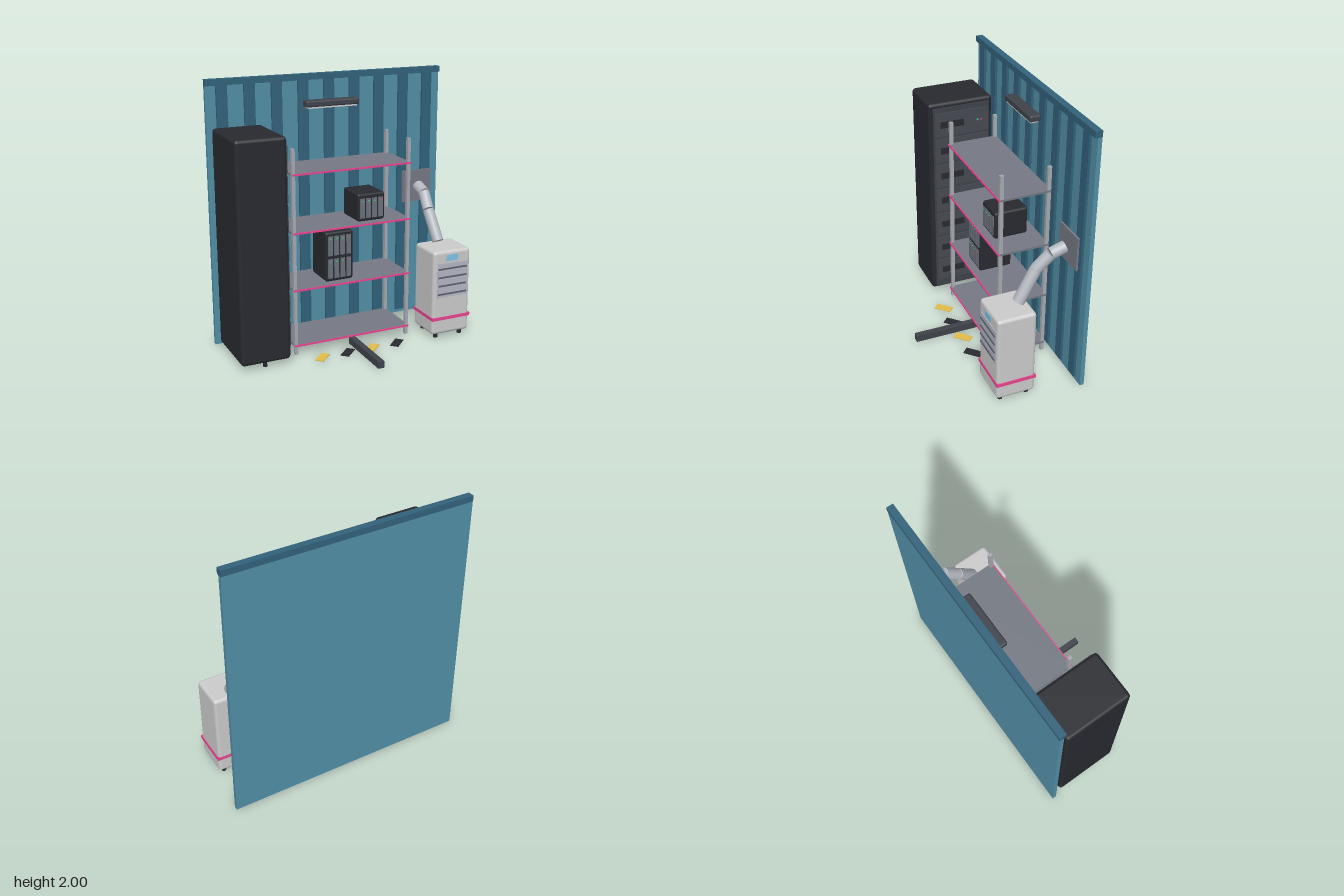
import * as THREE from 'three';
import { RoundedBoxGeometry } from 'three/addons/geometries/RoundedBoxGeometry.js';

const mat = (color) => new THREE.MeshStandardMaterial({ color });
const M = {
  wall: mat(0x528fa6), rib: mat(0x32627a), black: mat(0x282a30), dark: mat(0x3f434a),
  unit: mat(0x464a52), steel: mat(0xa6a9b0), shelf: mat(0x757983), pink: mat(0xe8458f),
  grey: mat(0xcccccc), grille: mat(0xb4b8c4), slat: mat(0x5c6270), blue: mat(0x7cc4e8),
  green: mat(0x3fd08a), yellow: mat(0xe3bd48), hose: mat(0xb4b8c0), bay: mat(0x6c707a),
};

// Box given by its limits on each axis; r > 0 rounds the edges.
function box(parent, name, m, [x0, x1], [y0, y1], [z0, z1], r = 0) {
  const s = [x1 - x0, y1 - y0, z1 - z0];
  const g = r ? new RoundedBoxGeometry(...s, 2, r) : new THREE.BoxGeometry(...s);
  const mesh = new THREE.Mesh(g, m);
  mesh.name = name;
  mesh.position.set((x0 + x1) / 2, (y0 + y1) / 2, (z0 + z1) / 2);
  parent.add(mesh);
  return mesh;
}

// Cylinder running between two points.
function rod(parent, name, m, a, b, r, sides = 16) {
  const p = new THREE.Vector3(...a), q = new THREE.Vector3(...b);
  const d = q.clone().sub(p);
  const mesh = new THREE.Mesh(new THREE.CylinderGeometry(r, r, d.length(), sides), m);
  mesh.name = name;
  mesh.position.copy(p).add(q).multiplyScalar(0.5);
  mesh.quaternion.setFromUnitVectors(new THREE.Vector3(0, 1, 0), d.normalize());
  parent.add(mesh);
}

function group(parent, name) {
  const g = new THREE.Group();
  g.name = name;
  parent.add(g);
  return g;
}

function addWall(root) {
  const g = group(root, 'corrugatedWall');
  box(g, 'wallPanel', M.wall, [-0.945, 0.94], [0, 1.955], [-0.47, -0.438]);
  box(g, 'topRail', M.rib, [-0.945, 0.94], [1.955, 2], [-0.472, -0.42]);
  for (let i = -4; i <= 4; i++) {
    const x = i * 0.207;
    box(g, 'wallRib', M.rib, [x - 0.041, x + 0.041], [0.03, 1.955], [-0.439, -0.42]);
  }
}

function addRack(root) {
  const g = group(root, 'serverRack');
  box(g, 'rackCabinet', M.black, [-0.925, -0.553], [0.04, 1.665], [-0.385, 0.125], 0.025);
  box(g, 'rackFrontPanel', M.dark, [-0.56, -0.545], [0.055, 1.63], [-0.355, 0.092]);
  for (let i = 0; i < 7; i++) {
    const y = 0.215 + i * 0.2135;
    box(g, 'serverUnit', M.unit, [-0.55, -0.536], [y - 0.094, y + 0.094], [-0.35, 0.082]);
    box(g, 'driveSlot', M.black, [-0.54, -0.528], [y - 0.025, y + 0.025], [-0.145, 0.04]);
    box(g, 'greenLight', M.green, [-0.54, -0.531], [y - 0.006, y + 0.006], [-0.266, -0.254]);
    box(g, 'pinkLight', M.pink, [-0.54, -0.531], [y - 0.006, y + 0.006], [-0.296, -0.284]);
  }
  for (const z of [-0.34, 0.085]) rod(g, 'rackFoot', M.black, [-0.74, 0, z], [-0.74, 0.05, z], 0.015, 10);
}

function addShelving(root) {
  const g = group(root, 'shelving');
  for (const x of [-0.461, 0.455]) for (const z of [-0.37, -0.016])
    box(g, 'shelfPost', M.steel, [x - 0.012, x + 0.012], [0, 1.545], [z - 0.014, z + 0.014]);
  for (let i = 0; i < 4; i++) {
    const y = 0.07 + i * 0.43;
    box(g, 'shelfBoard', M.shelf, [-0.472, 0.468], [y - 0.009, y + 0.007], [-0.385, -0.002]);
    box(g, 'shelfLip', M.pink, [-0.473, 0.469], [y - 0.007, y + 0.006], [-0.006, 0.006]);
  }
}

// Storage box with rows of four drive bays on its front.
function addStorage(root, x, y, h, rows) {
  const g = group(root, 'driveBox');
  box(g, 'driveBoxCase', M.black, [x, x + 0.22], [y, y + h], [-0.305, -0.05], 0.016);
  for (let r = 0; r < rows; r++) for (let i = 0; i < 4; i++) {
    const cx = x + 0.037 + i * 0.049, b = y + 0.025 + r * 0.175;
    box(g, 'driveBay', M.bay, [cx - 0.019, cx + 0.019], [b, b + 0.15], [-0.06, -0.045]);
    box(g, 'driveLight', i === 3 ? M.pink : M.green, [cx - 0.005, cx + 0.005], [b + 0.125, b + 0.135], [-0.05, -0.042]);
  }
}

function addCooler(root) {
  const g = group(root, 'portableCooler');
  box(g, 'coolerBody', M.grey, [0.575, 0.893], [0.035, 0.7], [-0.1, 0.19], 0.025);
  box(g, 'coolerBand', M.pink, [0.572, 0.9], [0.15, 0.175], [-0.103, 0.194]);
  box(g, 'coolerGrille', M.grille, [0.61, 0.87], [0.335, 0.605], [0.18, 0.195]);
  for (let i = 0; i < 4; i++) {
    const y = 0.362 + i * 0.067;
    box(g, 'grilleSlat', M.slat, [0.615, 0.857], [y - 0.006, y + 0.006], [0.19, 0.202]);
  }
  box(g, 'coolerDisplay', M.blue, [0.685, 0.78], [0.622, 0.668], [0.18, 0.194]);
  for (const x of [0.63, 0.84]) for (const z of [-0.055, 0.145])
    rod(g, 'coolerFoot', M.black, [x, 0, z], [x, 0.04, z], 0.018, 10);

  // Bent exhaust hose leading to the wall plate
  const path = [[0.735, 0.71, -0.03], [0.718, 0.93, -0.16], [0.735, 1.04, -0.26], [0.737, 1.075, -0.365]];
  for (let i = 0; i < 3; i++) rod(g, 'hoseSection', M.hose, path[i], path[i + 1], 0.044);
  box(g, 'ventPlate', M.shelf, [0.61, 0.865], [0.945, 1.198], [-0.402, -0.388]);
}

export function createModel() {
  const root = new THREE.Group();
  root.name = 'serverRoom';
  addWall(root);
  addRack(root);
  addShelving(root);
  addStorage(root, 0.06, 0.94, 0.21, 1);
  addStorage(root, -0.2, 0.51, 0.38, 2);
  addCooler(root);

  // Wall lamp
  const lamp = group(root, 'wallLamp');
  box(lamp, 'lampHousing', M.dark, [-0.215, 0.21], [1.765, 1.812], [-0.42, -0.335], 0.012);
  box(lamp, 'lampTube', M.grey, [-0.2, 0.193], [1.754, 1.77], [-0.405, -0.345]);

  // Floor beam and hazard markings
  box(root, 'floorBeam', M.dark, [-0.025, 0.022], [0, 0.052], [-0.03, 0.47]);
  for (let i = 0; i < 4; i++) {
    const x = -0.31 + i * 0.205;
    const mark = box(root, 'floorMarking', i % 2 ? M.black : M.yellow,
      [x - 0.066, x + 0.066], [0, 0.006], [0.125 - 0.032, 0.125 + 0.032]);
    mark.rotation.y = Math.PI / 4;
  }
  return root;
}
